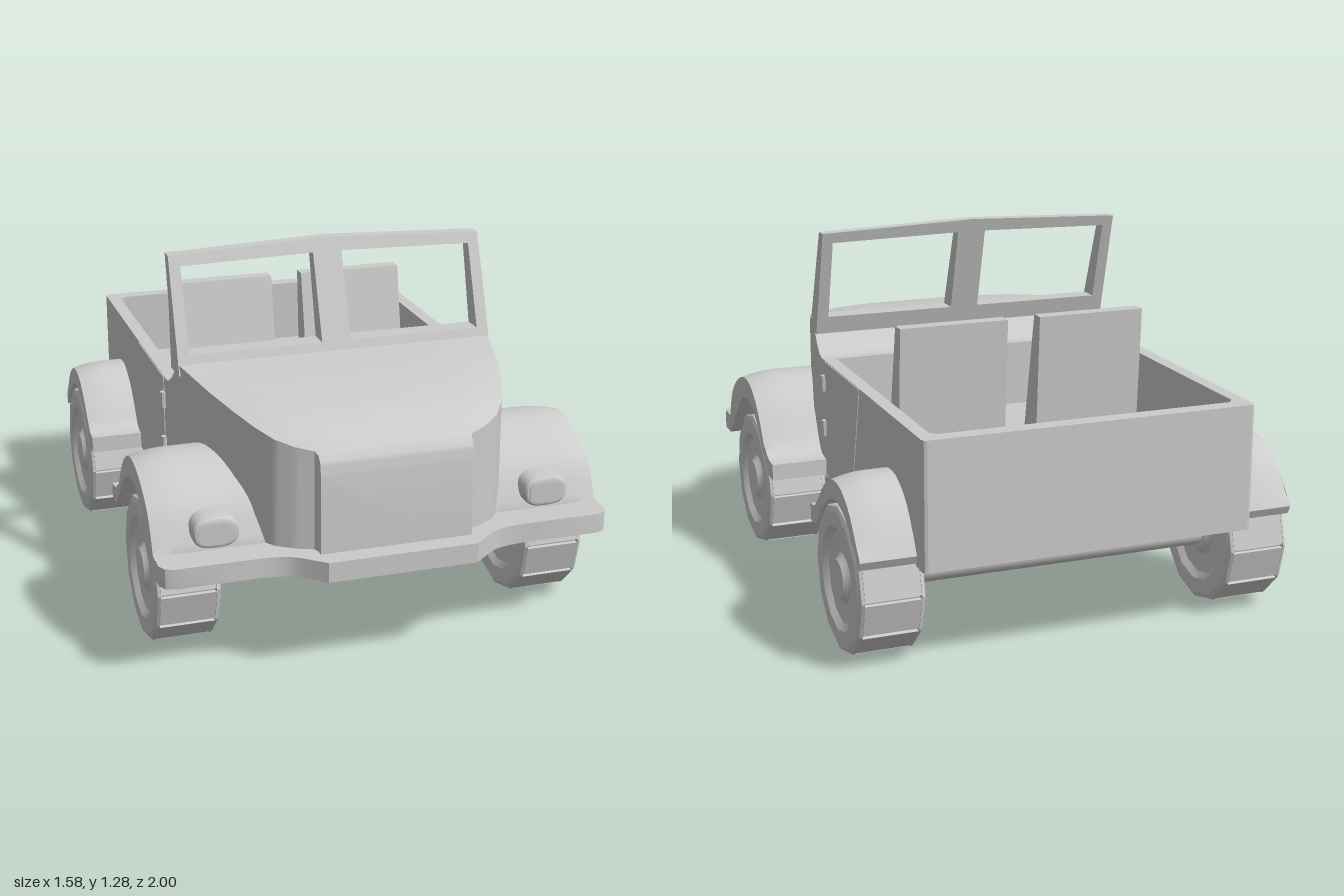
import * as THREE from 'three';
import { toCreasedNormals } from 'three/addons/utils/BufferGeometryUtils.js';

const material = new THREE.MeshStandardMaterial({ color: 0xcccccc });
const FLOOR = 0.56, SILL = 0.362, AXLE_Y = 0.255, FRONT_Z = 0.48, REAR_Z = -0.675;
const ARCH_H = 0.25, FRONT_ARCH = 0.31, REAR_ARCH = 0.28;

function add(parent, name, geometry, crease = 0.6) {
  const mesh = new THREE.Mesh(toCreasedNormals(geometry, crease), material);
  mesh.name = name;
  parent.add(mesh);
  return mesh;
}

const shapeOf = (pts) => new THREE.Shape(pts.map(([a, b]) => new THREE.Vector2(a, b)));
const smooth = (pts, n = 24) =>
  new THREE.SplineCurve(pts.map(([a, b]) => new THREE.Vector2(a, b))).getPoints(n).map((p) => [p.x, p.y]);

// Side outline of [z, y] points, extruded from x0 to x1
function sideExtrude(pts, x0, x1, steps = 1) {
  const g = new THREE.ExtrudeGeometry(shapeOf(pts.map(([z, y]) => [-z, y])), {
    depth: x1 - x0, steps, bevelEnabled: false,
  });
  return g.rotateY(Math.PI / 2).translate(x0, 0, 0);
}

// Plan outline of [x, z] points, extruded from y0 to y1
function planExtrude(pts, y0, y1) {
  const g = new THREE.ExtrudeGeometry(shapeOf(pts.map(([x, z]) => [x, -z])), {
    depth: y1 - y0, bevelEnabled: false,
  });
  return g.rotateX(-Math.PI / 2).translate(0, y0, 0);
}

// Underside height, lifted over the front axle
function underside(z) {
  const h = 1 - ((z - FRONT_Z) / FRONT_ARCH) ** 2;
  return h > 0 ? Math.max(SILL, AXLE_Y + ARCH_H * Math.sqrt(h)) : SILL;
}

// Bonnet and cowl: crowned sections [z, half width, top, edge drop] lofted front to back
function bonnetGeometry() {
  const key = [
    [0.93, 0.265, 0.7, 0], [0.922, 0.265, 0.745, 0], [0.905, 0.265, 0.77, 0.004], [0.885, 0.272, 0.787, 0.012],
    [0.86, 0.33, 0.805, 0.018], [0.82, 0.388, 0.826, 0.021], [0.75, 0.435, 0.851, 0.023], [0.65, 0.477, 0.871, 0.021],
    [0.5, 0.525, 0.89, 0.014], [0.29, 0.575, 0.905, 0], [0.24, 0.578, 0.875, 0], [0.2, 0.581, 0.835, 0],
    [0.16, 0.584, 0.808, 0], [0.13, 0.585, 0.8, 0], [0.1, 0.585, 0.8, 0],
  ];
  const rings = [];
  key.forEach((k, i) => {
    const next = key[i + 1];
    const n = next ? 4 : 1;
    for (let s = 0; s < n; s++) {
      const [z, w, t, d] = k.map((v, c) => (next ? v + ((next[c] - v) * s) / n : v));
      const crown = [1, 0.9, 0.75, 0.5, 0, -0.5, -0.75, -0.9, -1].map((u) => [u * w, t - d * u ** 4, z]);
      rings.push([[w, underside(z), z], ...crown, [-w, underside(z), z]]);
    }
  });
  const pos = [];
  const tri = (...corners) => corners.forEach((c) => pos.push(...c));
  const cap = (ring) => {
    for (let k = 1; k + 1 < ring.length; k++) tri(ring[0], ring[k], ring[k + 1]);
  };
  cap(rings[0]);
  for (let i = 0; i + 1 < rings.length; i++) {
    const [a, b] = [rings[i], rings[i + 1]];
    for (let k = 0; k < a.length; k++) {
      const m = (k + 1) % a.length;
      tri(a[k], b[k], b[m], a[k], b[m], a[m]);
    }
  }
  cap([...rings[rings.length - 1]].reverse());
  const g = new THREE.BufferGeometry();
  g.setAttribute('position', new THREE.Float32BufferAttribute(pos, 3));
  return g;
}

// Windscreen: flat frame with two openings, leaned back and thinned toward the top
function windscreenGeometry() {
  const frame = shapeOf([[-0.578, 0.87], [0.578, 0.87], [0.575, 1.262], [0, 1.283], [-0.575, 1.262]]);
  for (const s of [-1, 1]) {
    frame.holes.push(new THREE.Path([[0.053, 0.935], [0.535, 0.935], [0.535, 1.225], [0.053, 1.235]]
      .map(([x, y]) => new THREE.Vector2(s * x, y))));
  }
  const g = new THREE.ExtrudeGeometry(frame, { depth: 1, bevelEnabled: false });
  const p = g.attributes.position;
  for (let i = 0; i < p.count; i++) {
    const up = (p.getY(i) - 0.905) / 0.375;
    const thick = 0.08 - 0.033 * up;
    p.setZ(i, 0.29 - 0.137 * up - thick * (1 - p.getZ(i)));
  }
  return g;
}

// Mudguard: arched band whose crown falls away to the outside
function fenderGeometry(outer, inner, x0, x1, side) {
  const pts = [...smooth(outer), ...smooth(inner)];
  const g = sideExtrude(pts, side > 0 ? x0 : -x1, side > 0 ? x1 : -x0, 10);
  const p = g.attributes.position;
  for (let i = 0; i < p.count; i++) {
    const u = Math.max(0, (Math.abs(p.getX(i)) - 0.66) / (x1 - 0.66));
    if (p.getY(i) > 0.45) p.setY(i, p.getY(i) - 0.02 * u * u);
  }
  return g;
}

// Wheel: twelve-sided tyre with dished hub and raised tread blocks
function createWheel() {
  const wheel = new THREE.Group();
  const sides = 12;
  const half = [[0.242, 0.092], [0.254, 0.096], [0.25, 0.106], [0.234, 0.114], [0.18, 0.114],
    [0.158, 0.096], [0.088, 0.092], [0.077, 0.1], [0.066, 0.112], [0, 0.112]];
  const profile = [...half.map(([r, x]) => [r, -x]).reverse(), ...half];
  const tyre = new THREE.LatheGeometry(profile.map(([r, x]) => new THREE.Vector2(r, x)), sides);
  add(wheel, 'tyre', tyre.rotateZ(-Math.PI / 2), 0.45);
  for (let i = 0; i < sides; i++) {
    const block = new THREE.BoxGeometry(0.19, 0.03, 0.116);
    block.translate(0, 0.23, 0).rotateX(((i + 0.5) / sides) * Math.PI * 2);
    add(wheel, 'treadBlock', block);
  }
  return wheel;
}

// Headlamp: rounded oblong housing with a lens
function createHeadlamp() {
  const lamp = new THREE.Group();
  const oval = (rx, ry) => {
    const pts = [];
    for (let i = 0; i < 28; i++) {
      const a = (i / 28) * Math.PI * 2, c = Math.cos(a), s = Math.sin(a);
      pts.push([Math.sign(c) * rx * Math.abs(c) ** 0.7, Math.sign(s) * ry * Math.abs(s) ** 0.7]);
    }
    return shapeOf(pts);
  };
  const bevel = { bevelEnabled: true, bevelThickness: 0.012, bevelSize: 0.01, bevelSegments: 3 };
  add(lamp, 'lampHousing', new THREE.ExtrudeGeometry(oval(0.068, 0.043), { depth: 0.12, ...bevel }).translate(0, 0, -0.132));
  add(lamp, 'lampLens', new THREE.ExtrudeGeometry(oval(0.062, 0.038), { depth: 0.004, bevelEnabled: false }));
  return lamp;
}

export function createModel() {
  const model = new THREE.Group();
  model.name = 'openOffRoadCar';

  add(model, 'bonnet', bonnetGeometry());
  add(model, 'windscreenFrame', windscreenGeometry(), 0.3);

  // Tub: lower hull with an arch over the rear axle, rounded tail, then walls around the cabin
  const hull = [[0.1, FLOOR], [0.1, SILL]];
  const start = Math.asin((SILL - AXLE_Y) / ARCH_H);
  for (let i = 0; i <= 16; i++) {
    const a = start + ((Math.PI - 2 * start) * i) / 16;
    hull.push([REAR_Z + REAR_ARCH * Math.cos(a), AXLE_Y + ARCH_H * Math.sin(a)]);
  }
  hull.push([-0.94, SILL], [-0.94, FLOOR]);
  add(model, 'lowerHull', sideExtrude(hull, -0.585, 0.585));
  const tail = [[-0.585, -0.985], [-0.58, -0.996], [-0.57, -1], [0.57, -1], [0.58, -0.996], [0.585, -0.985]];
  add(model, 'tailPanel', planExtrude([[-0.585, -0.94], ...tail, [0.585, -0.94]], SILL, FLOOR), 0.3);
  const walls = [[-0.585, 0.1], ...tail, [0.585, 0.1],
    [0.537, 0.1], [0.537, -0.92], [0.517, -0.942], [-0.517, -0.942], [-0.537, -0.92], [-0.537, 0.1]];
  add(model, 'tubWalls', planExtrude(walls, FLOOR, 0.8), 0.3);

  // Bumper with a projecting centre
  const edge = smooth([[0.26, 1], [0.3, 0.965], [0.36, 0.92], [0.43, 0.903], [0.5, 0.9]], 12);
  const halfBumper = [...edge, [0.745, 0.9], [0.775, 0.888], [0.79, 0.86], [0.79, 0.78]];
  const bumper = [...halfBumper, ...halfBumper.map(([x, z]) => [-x, z]).reverse()];
  add(model, 'bumper', planExtrude(bumper, 0.36, 0.43));

  const frontOuter = [[0.79, 0.42], [0.74, 0.535], [0.68, 0.6], [0.58, 0.655], [0.48, 0.675], [0.38, 0.65],
    [0.29, 0.575], [0.22, 0.475], [0.17, 0.43], [0.1, 0.42]];
  const frontInner = [[0.1, 0.36], [0.17, 0.37], [0.22, 0.43], [0.3, 0.52], [0.38, 0.575], [0.48, 0.597],
    [0.58, 0.565], [0.66, 0.49], [0.72, 0.41], [0.78, 0.36]];
  const rearOuter = [[-0.365, 0.42], [-0.42, 0.43], [-0.47, 0.49], [-0.54, 0.56], [-0.62, 0.603], [-0.68, 0.612],
    [-0.75, 0.6], [-0.83, 0.55], [-0.89, 0.475], [-0.935, 0.4]];
  const rearInner = [[-0.92, 0.37], [-0.85, 0.46], [-0.78, 0.52], [-0.68, 0.548], [-0.58, 0.52], [-0.5, 0.45],
    [-0.45, 0.385], [-0.41, 0.362], [-0.365, 0.36]];

  for (const side of [1, -1]) {
    add(model, 'frontFender', fenderGeometry(frontOuter, frontInner, 0.4, 0.79, side));
    add(model, 'rearFender', fenderGeometry(rearOuter, rearInner, 0.57, 0.775, side));

    const lamp = createHeadlamp();
    lamp.name = 'headlamp';
    lamp.position.set(side * 0.585, 0.5, 0.818);
    model.add(lamp);

    // Door panel and hinges
    const door = [[0.085, 0.797], [0.085, 0.46], [-0.25, 0.46], [-0.285, 0.58], [-0.34, 0.797]];
    add(model, 'door', sideExtrude(door, side * 0.585 - 0.003, side * 0.585 + 0.003));
    for (const y of [0.545, 0.715]) {
      add(model, 'doorHinge', new THREE.CylinderGeometry(0.013, 0.013, 0.058, 10).translate(side * 0.59, y, 0.09));
    }

    // Seat back, tapering upward
    const seat = [[-0.255, FLOOR - 0.01], [-0.345, 1.012], [-0.397, 1.012], [-0.37, FLOOR - 0.01]];
    add(model, 'seatBack', sideExtrude(seat, side > 0 ? 0.06 : -0.455, side > 0 ? 0.455 : -0.06));

    for (const z of [FRONT_Z, REAR_Z]) {
      const wheel = createWheel();
      wheel.name = 'wheel';
      wheel.position.set(side * 0.662, AXLE_Y, z);
      model.add(wheel);
    }
  }

  // Axles with their central mounts
  for (const z of [FRONT_Z, REAR_Z]) {
    add(model, 'axle', new THREE.CylinderGeometry(0.054, 0.054, 1.14, 20).rotateZ(Math.PI / 2).translate(0, 0.26, z));
    add(model, 'axleMount', new THREE.CylinderGeometry(0.125, 0.115, 0.26, 20).scale(1, 1, 0.42).translate(0, 0.4, z));
  }
  return model;
}
